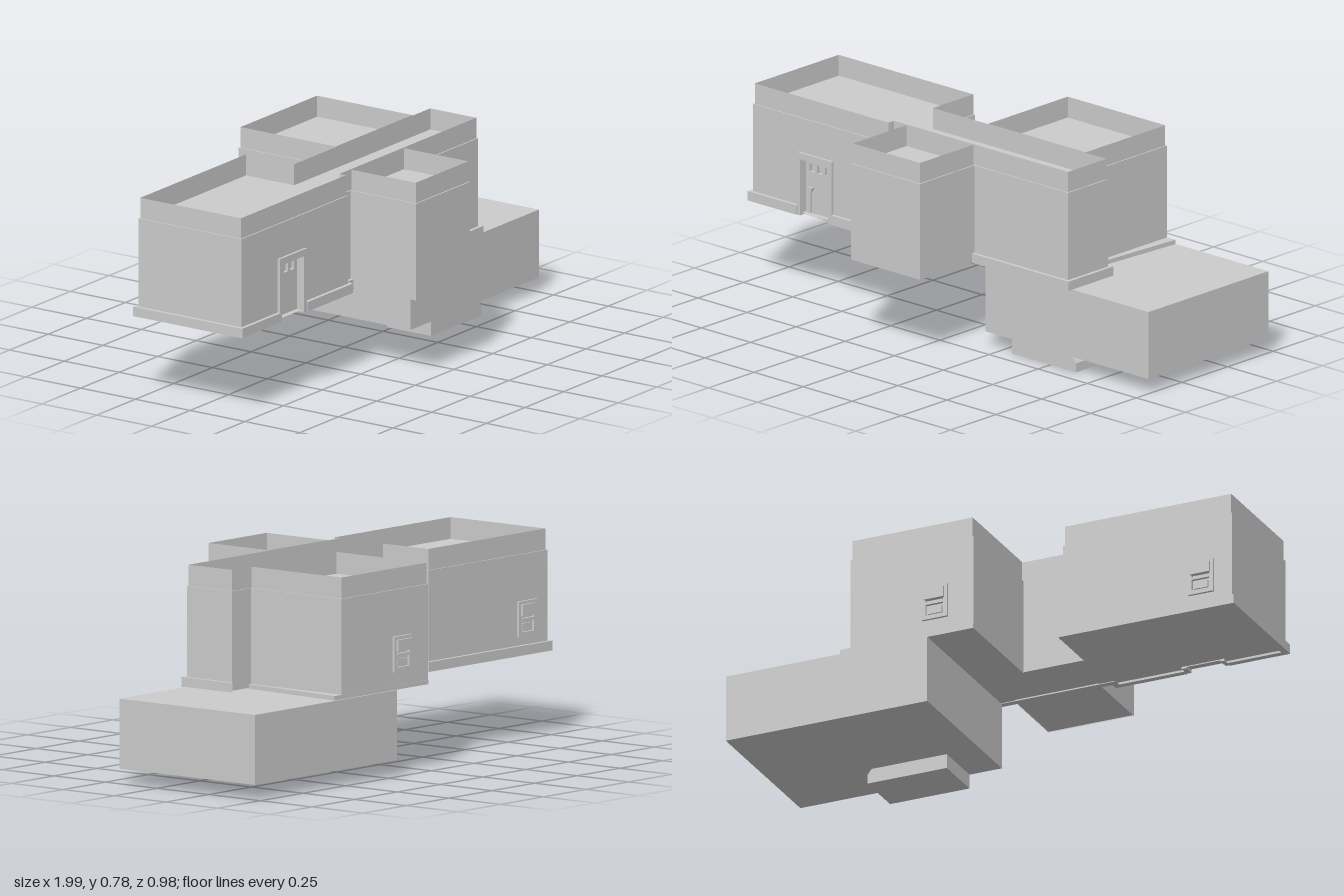
import * as THREE from 'three';

const mat = new THREE.MeshStandardMaterial({ color: 0xcccccc, flatShading: true, side: THREE.DoubleSide });

// Footprints as [x, z], running along the front first, then round by the right side
const mainPlan = [[-0.98, 0.22], [-0.29, 0.22], [-0.29, 0.19], [0.597, 0.19], [0.597, -0.03], [-0.285, -0.03], [-0.285, -0.25], [-0.98, -0.25]];
const frontPlan = [[-0.23, 0.489], [0.12, 0.489], [0.12, 0.185], [-0.23, 0.185]];
const backPlan = [[-0.018, -0.025], [0.488, -0.025], [0.488, -0.47], [-0.018, -0.47]];

// Move a square-cornered footprint outwards by d
function offset(plan, d) {
  const n = plan.length;
  const normal = (i) => {
    const a = plan[(i + n) % n], b = plan[(i + 1) % n];
    const dx = b[0] - a[0], dz = b[1] - a[1], l = Math.hypot(dx, dz);
    return [-dz / l, dx / l];
  };
  return plan.map((p, i) => {
    const u = normal(i - 1), v = normal(i);
    return [p[0] + d * (u[0] + v[0]), p[1] + d * (u[1] + v[1])];
  });
}

// Band of quads round a footprint, from height y0 (offset d0) to y1 (offset d1)
function band(plan, y0, d0, y1, d1, skip = []) {
  const lo = offset(plan, d0), hi = offset(plan, d1), pos = [];
  plan.forEach((_, i) => {
    if (skip.includes(i)) return;
    const j = (i + 1) % plan.length;
    const a = [lo[i][0], y0, lo[i][1]], b = [lo[j][0], y0, lo[j][1]];
    const c = [hi[j][0], y1, hi[j][1]], d = [hi[i][0], y1, hi[i][1]];
    pos.push(...a, ...b, ...c, ...a, ...c, ...d);
  });
  const g = new THREE.BufferGeometry();
  g.setAttribute('position', new THREE.Float32BufferAttribute(pos, 3));
  g.computeVertexNormals();
  return g;
}

const shapeOf = (pts) => new THREE.Shape(pts.map((p) => new THREE.Vector2(p[0], p[1])));
const rect = (x0, y0, x1, y1) => [[x0, y0], [x1, y0], [x1, y1], [x0, y1]];

function add(parent, name, geo, x = 0, y = 0, z = 0) {
  const m = new THREE.Mesh(geo, mat);
  m.name = name;
  m.position.set(x, y, z);
  parent.add(m);
  return m;
}

// Box given by its two opposite corners
function block(parent, name, a, b) {
  add(parent, name, new THREE.BoxGeometry(b[0] - a[0], b[1] - a[1], b[2] - a[2]),
    (a[0] + b[0]) / 2, (a[1] + b[1]) / 2, (a[2] + b[2]) / 2);
}

// Horizontal sheet over a footprint
function deck(parent, name, plan, y) {
  const g = new THREE.ShapeGeometry(shapeOf([...plan].reverse()));
  add(parent, name, g.rotateX(Math.PI / 2), 0, y, 0);
}

// Walls, floor, sunken roof and thin parapet of one wing
function wing(parent, name, plan, base, skip = []) {
  const g = new THREE.Group();
  g.name = name;
  add(g, 'walls', band(plan, base, 0, 0.7, 0, skip));
  add(g, 'parapetLedge', band(plan, 0.7, 0, 0.7, -0.005));
  add(g, 'parapet', band(plan, 0.7, -0.005, 0.78, -0.005));
  deck(g, 'roof', offset(plan, -0.005), 0.698);
  deck(g, 'floor', plan, base + 0.004);
  parent.add(g);
}

// Framed window on a back wall
function windowUnit(parent, x, z) {
  const g = new THREE.Group();
  g.name = 'window';
  const frame = shapeOf(rect(-0.052, -0.067, 0.052, 0.067));
  frame.holes.push(shapeOf(rect(-0.036, -0.05, 0.036, 0.05)));
  add(g, 'windowFrame', new THREE.ExtrudeGeometry(frame, { depth: 0.01, bevelEnabled: false }), 0, 0, -0.01);
  block(g, 'windowHood', [-0.04, 0.012, -0.019], [0.04, 0.055, 0]);
  block(g, 'windowBar', [-0.036, -0.008, -0.012], [0.036, 0.002, 0]);
  block(g, 'windowSill', [-0.028, -0.045, -0.006], [0.028, -0.018, 0]);
  g.position.set(x, 0.457, z);
  parent.add(g);
}

function doorway(parent) {
  const g = new THREE.Group();
  g.name = 'doorway';
  const x0 = -0.73, x1 = -0.59, top = 0.54, zw = 0.22;
  // Front wall with the opening
  const wall = shapeOf([[-0.98, 0.32], [x0, 0.32], [x0, top], [x1, top], [x1, 0.32], [-0.29, 0.32], [-0.29, 0.7], [-0.98, 0.7]]);
  add(g, 'frontWall', new THREE.ShapeGeometry(wall), 0, 0, zw);
  // Raised frame and the recess behind it
  const frame = shapeOf([[-0.745, 0.32], [x0, 0.32], [x0, top], [x1, top], [x1, 0.32], [-0.57, 0.32], [-0.57, 0.566], [-0.745, 0.566]]);
  add(g, 'doorFrame', new THREE.ExtrudeGeometry(frame, { depth: 0.045, bevelEnabled: false }), 0, 0, zw - 0.035);
  // Door leaf with three small panes
  const leaf = shapeOf(rect(x0, 0.325, x1, top));
  for (let i = 0; i < 3; i++) {
    const px = x0 + 0.018 + i * 0.039;
    leaf.holes.push(shapeOf(rect(px, 0.49, px + 0.027, 0.522)));
  }
  add(g, 'doorLeaf', new THREE.ExtrudeGeometry(leaf, { depth: 0.012, bevelEnabled: false }), 0, 0, zw - 0.034);
  block(g, 'doorPanes', [x0, 0.48, zw - 0.037], [x1, 0.53, zw - 0.034]);
  const handle = shapeOf([[-0.72, 0.33], [-0.7, 0.33], [-0.7, 0.41], [-0.688, 0.43], [-0.715, 0.43], [-0.72, 0.39]]);
  add(g, 'doorHandle', new THREE.ExtrudeGeometry(handle, { depth: 0.008, bevelEnabled: false }), 0, 0, zw - 0.022);
  parent.add(g);
}

export function createModel() {
  const model = new THREE.Group();
  model.name = 'building';

  wing(model, 'mainWing', mainPlan, 0.325, [0]);
  wing(model, 'frontWing', frontPlan, 0.323);
  wing(model, 'backWing', backPlan, 0.325);
  doorway(model);
  windowUnit(model, -0.855, -0.25);
  windowUnit(model, 0.138, -0.47);

  // Plinth round the main wing, broken at the door
  const skip = [0, 4], out = 0.014;
  const plinth = new THREE.Group();
  plinth.name = 'plinth';
  add(plinth, 'plinthFace', band(mainPlan, 0.32, out, 0.357, out, skip));
  add(plinth, 'plinthTop', band(mainPlan, 0.357, out, 0.357, 0, skip));
  add(plinth, 'plinthUnderside', band(mainPlan, 0.32, -0.012, 0.32, out, skip));
  block(plinth, 'plinthFrontRight', [-0.994, 0.32, 0.21], [-0.745, 0.357, 0.234]);
  block(plinth, 'plinthFrontLeft', [-0.57, 0.32, 0.21], [-0.276, 0.357, 0.234]);
  model.add(plinth);

  // Thin slab under the back wing, widening towards the rear
  const slab = shapeOf([[-0.018, -0.03], [0.5, -0.03], [0.53, -0.471], [-0.018, -0.471]]);
  add(model, 'backSlab', new THREE.ExtrudeGeometry(slab, { depth: 0.017, bevelEnabled: false }).rotateX(Math.PI / 2), 0, 0.339, 0);

  // Lower block, its diagonal strip and the foot below
  block(model, 'lowerBlock', [0.17, 0.057, -0.474], [1, 0.321, 0.183]);
  const strip = shapeOf([[0.335, 0.32], [0.37, 0.32], [0.42, 0.255], [0.42, 0.23]]);
  add(model, 'diagonalStrip', new THREE.ShapeGeometry(strip), 0, 0, 0.1845);
  const foot = shapeOf([[0.303, 0], [0.63, 0], [0.63, 0.035], [0.612, 0.058], [0.303, 0.058]]);
  add(model, 'foot', new THREE.ExtrudeGeometry(foot, { depth: 0.2, bevelEnabled: false }), 0, 0, -0.018);

  return model;
}
